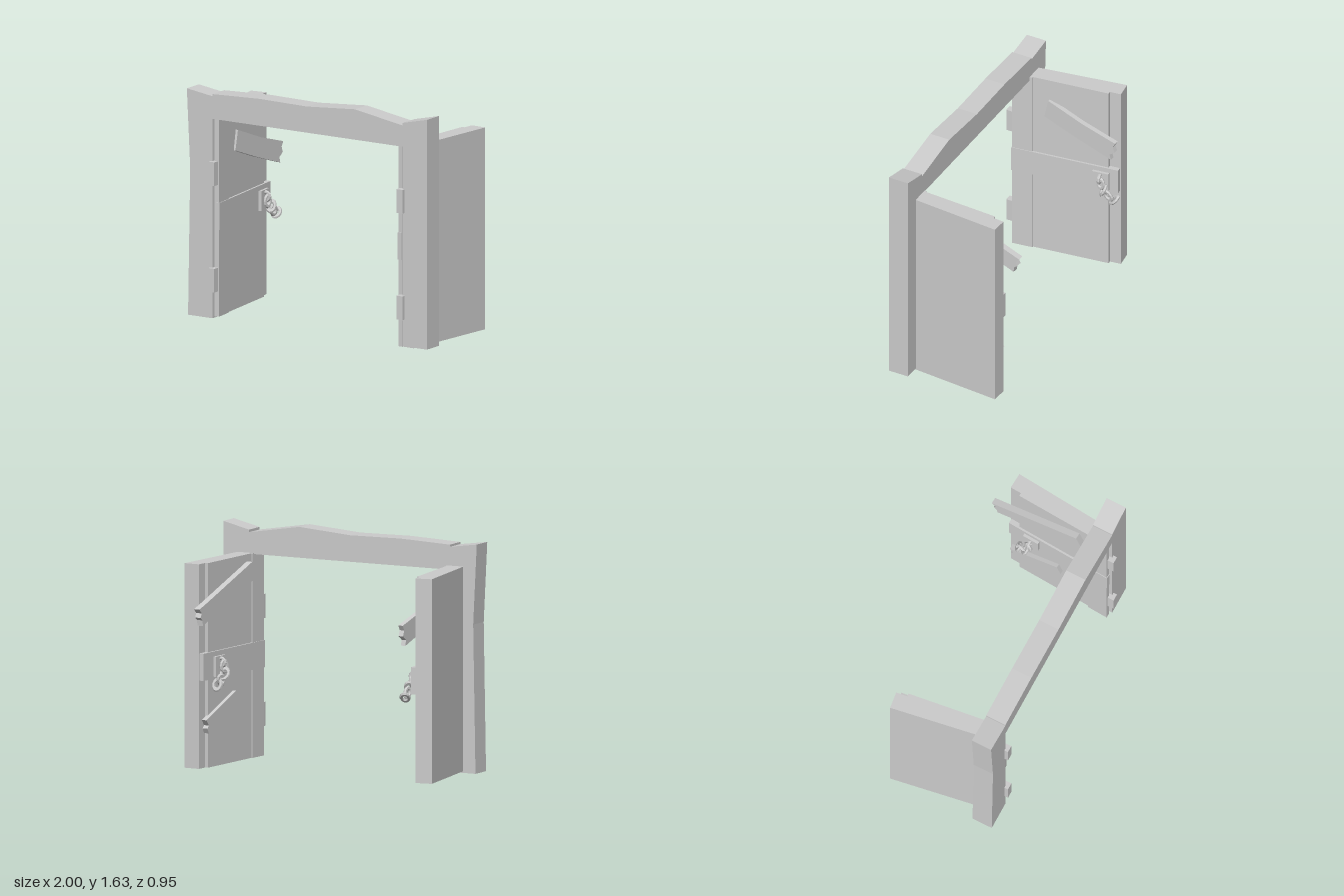
import * as THREE from 'three';

const grey = new THREE.MeshStandardMaterial({ color: 0xcccccc, flatShading: true });

function add(parent, name, geometry) {
  const mesh = new THREE.Mesh(geometry, grey);
  mesh.name = name;
  parent.add(mesh);
  return mesh;
}

function extrude(points, depth) {
  const shape = new THREE.Shape(points.map(([x, y]) => new THREE.Vector2(x, y)));
  return new THREE.ExtrudeGeometry(shape, { depth, bevelEnabled: false });
}

// Box given by its limits on each axis
function box(x0, x1, y0, y1, z0, z1) {
  return new THREE.BoxGeometry(Math.abs(x1 - x0), y1 - y0, z1 - z0)
    .translate((x0 + x1) / 2, (y0 + y1) / 2, (z0 + z1) / 2);
}

// Side outline (distance backwards, y) given a thickness along x, starting at x
const fromSide = (points, thickness, x) =>
  extrude(points, thickness).rotateY(Math.PI / 2).translate(x, 0, 0);

// One door leaf; side is +1 for the model's left, -1 for its right
function makeDoor(side, hinge, angle, endThickness, lockAt, links) {
  const door = new THREE.Group();
  door.name = side > 0 ? 'leftDoor' : 'rightDoor';
  door.position.set(side * hinge[0], hinge[1], hinge[2]);
  door.rotation.y = -side * angle;

  // Slab drawn in plan, slightly thicker at the free end
  const plan = [[0, -0.13], [0.094, -0.13], [endThickness, 0.652], [0, 0.652]];
  add(door, 'doorSlab', extrude(plan.map(([x, u]) => [side * x, u]), 1.427).rotateX(-Math.PI / 2));
  add(door, 'innerPanel', box(0, -side * 0.022, 0, 1.427, -0.57, 0));
  add(door, 'hingeStile', box(0, -side * 0.031, 0, 1.427, -0.01, 0.14));
  add(door, 'crossBoard', box(0, -side * 0.036, 0.615, 0.805, -0.645, 0.145));

  // Lock plate with its staple
  add(door, 'lockPlate', box(-side * 0.03, -side * 0.056, 0.63, 0.77, -lockAt - 0.06, -lockAt + 0.06));
  const staple = add(door, 'staple', new THREE.TorusGeometry(0.03, 0.012, 6, 12));
  staple.position.set(-side * 0.062, 0.725, -lockAt);

  // Hanging chain, links turned alternately
  const chain = new THREE.Group();
  chain.name = 'chain';
  links.forEach(([x, y, u, tilt], i) => {
    const link = add(chain, 'chainLink', new THREE.TorusGeometry(0.026, 0.012, 6, 12).scale(1, 1.4, 1));
    link.position.set(-side * x, y, -u);
    link.rotation.set(tilt, i % 2 ? 0.3 : Math.PI / 2 - 0.3, 0);
  });
  door.add(chain);
  return door;
}

export function createModel() {
  const root = new THREE.Group();
  root.name = 'brokenGate';

  // Door frame: uneven posts and a sagging lintel
  const frame = new THREE.Group();
  frame.name = 'frame';
  root.add(frame);
  const frontPart = (name, pts) => add(frame, name, extrude(pts, 0.15).translate(0, 0, 0.297));
  frontPart('rightPost', [[-0.99, 0.01], [-0.788, 0.01], [-0.788, 1.58], [-1, 1.61], [-0.972, 1.05]]);
  frontPart('leftPost', [[0.797, 0.01], [1, 0.01], [1, 1.635], [0.797, 1.588]]);
  frontPart('lintel', [[-0.788, 1.42], [0.797, 1.42], [0.797, 1.57], [0.4, 1.635],
    [0, 1.605], [-0.4, 1.61], [-0.788, 1.595]]);

  // Hinges on the inner front edges of the posts
  for (const x of [-0.803, 0.765])
    for (const y of [0.2, 0.953]) add(frame, 'hinge', box(x, x + 0.05, y, y + 0.168, 0.425, 0.475));

  const leftDoor = makeDoor(1, [0.79, 0, 0.29], 0.06, 0.115, 0.46,
    [[0.085, 0.7, 0.46, 0], [0.1, 0.65, 0.475, 0.5], [0.09, 0.61, 0.505, -0.6], [0.08, 0.58, 0.54, 0.4]]);
  const rightDoor = makeDoor(-1, [0.795, 0.022, 0.29], 0.13, 0.12, 0.52,
    [[0.07, 0.69, 0.53, 0], [0.085, 0.65, 0.555, -0.5], [0.085, 0.615, 0.59, 0.6], [0.085, 0.59, 0.635, -0.8]]);
  root.add(leftDoor, rightDoor);

  // Broken planks nailed across the left door
  add(leftDoor, 'upperPlank', fromSide([[0.04, 1.26], [0.38, 1.135], [0.715, 1.01], [0.72, 1.05],
    [0.745, 1.07], [0.73, 1.1], [0.76, 1.13], [0.66, 1.165], [0.08, 1.38]], 0.045, -0.074));
  add(leftDoor, 'lowerPlank', fromSide([[0.22, 0.41], [0.6, 0.245], [0.62, 0.28], [0.6, 0.3],
    [0.63, 0.34], [0.25, 0.5]], 0.04, -0.05));

  // Loose plank standing off the right door
  const loose = add(root, 'loosePlank', fromSide([[0, 1.15], [0.25, 1.06], [0.53, 0.97], [0.52, 1.01],
    [0.56, 1.04], [0.545, 1.08], [0.565, 1.115], [0.3, 1.19], [0.03, 1.29]], 0.036, -0.018));
  loose.position.set(-0.79, 0, 0.185);
  loose.rotation.y = -0.03;

  return root;
}
